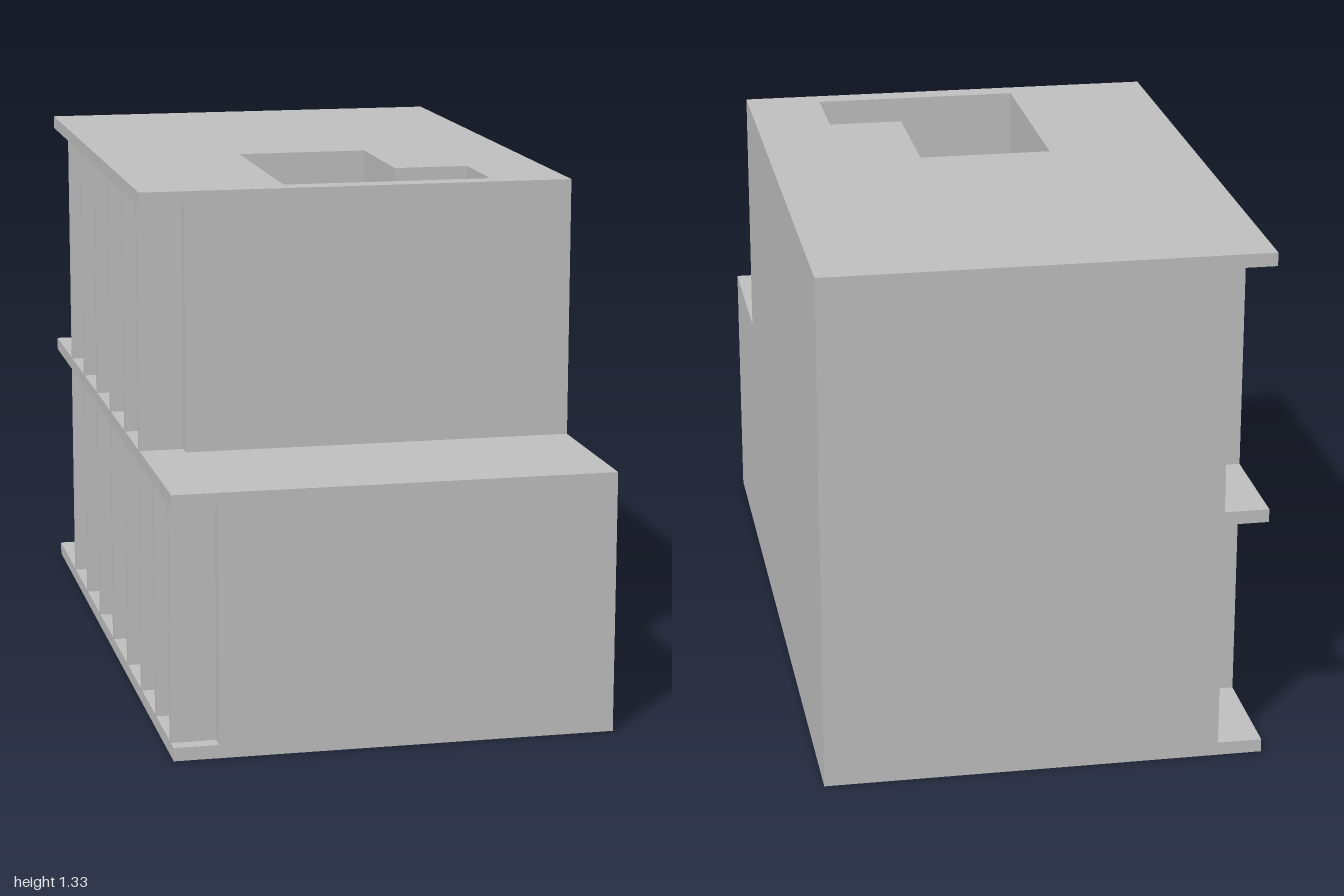
import * as THREE from 'three';

export function createModel() {
  const group = new THREE.Group();
  group.name = 'steppedBuilding';
  const concrete = new THREE.MeshStandardMaterial({ color: 0xbfbfbf });
  concrete.name = 'light grey concrete';

  const outer = -0.558, wall = -0.445, right = 0.558; // facade lines in x
  const back = -1, step = 0.565, front = 1;           // facade lines in z
  const floor = 0.667, roof = 1.333, slab = 0.034;    // heights

  const add = (name, geometry) => {
    const mesh = new THREE.Mesh(geometry, concrete);
    mesh.name = name;
    group.add(mesh);
  };
  const box = (name, x0, x1, y0, y1, z0, z1) => {
    const g = new THREE.BoxGeometry(x1 - x0, y1 - y0, z1 - z0);
    g.translate((x0 + x1) / 2, (y0 + y1) / 2, (z0 + z1) / 2);
    add(name, g);
  };
  // plan points are (x, z); the extrusion is turned upright
  const plan = (points) => points.map(([x, z]) => new THREE.Vector2(x, -z));

  // two-storey block with an L-shaped light well running right through
  const shape = new THREE.Shape(plan([[wall, step], [right, step], [right, back], [wall, back]]));
  shape.holes.push(new THREE.Path(plan([
    [-0.18, -0.075], [0.165, -0.075], [0.165, 0.275],
    [0.36, 0.275], [0.36, 0.505], [-0.18, 0.505],
  ])));
  const main = new THREE.ExtrudeGeometry(shape, { depth: roof, bevelEnabled: false });
  main.rotateX(-Math.PI / 2);
  add('mainBlock', main);

  // single-storey front block
  box('frontBlock', wall, right, 0, floor, step, front);

  // projecting slabs along the recessed side
  box('groundSlab', outer, wall, 0, slab, back, front);
  box('terraceSlab', outer, wall, floor - slab, floor, back, front);
  box('roofSlab', outer, wall, roof - slab, roof, back, step);

  // vertical fins between the slabs; the upper storey stops at the step
  const fins = [-0.7, -0.456, -0.212, 0.032, 0.276, 0.505, 0.725, 0.94];
  fins.forEach((z, i) => {
    box('lowerFin' + (i + 1), outer, wall, slab, floor - slab, z, z + 0.02);
    if (z < step) box('upperFin' + (i + 1), outer, wall, floor, roof - slab, z, z + 0.02);
  });

  return group;
}
